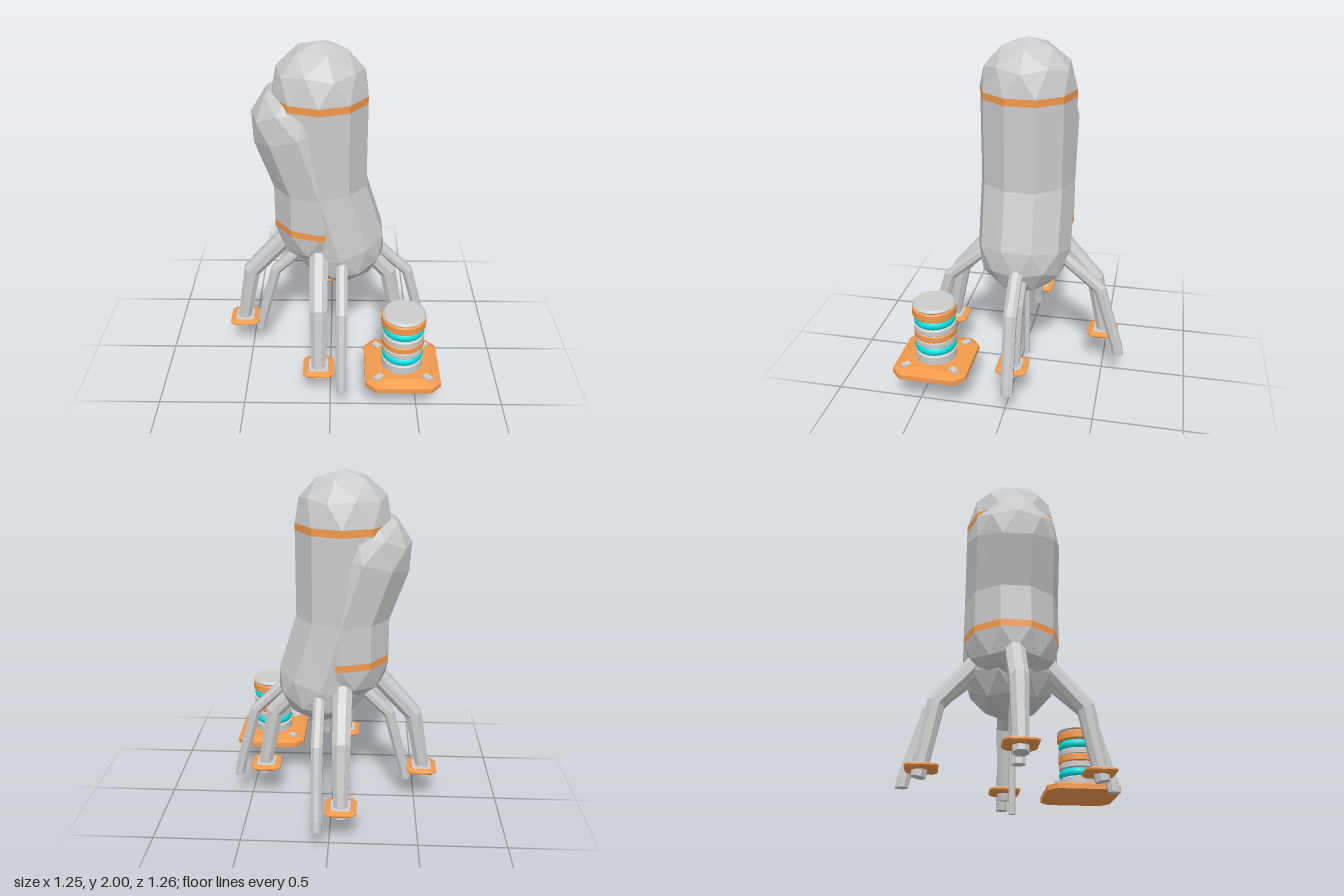
import * as THREE from 'three';
import { toCreasedNormals } from 'three/addons/utils/BufferGeometryUtils.js';

const V = (x, y, z) => new THREE.Vector3(x, y, z);
const flat = (color) => new THREE.MeshStandardMaterial({ color, flatShading: true });
const smooth = (color) => new THREE.MeshStandardMaterial({ color });
const GREY = 0xcccccc, ORANGE = 0xf29a4c, CYAN = 0x00dede;
const grey = flat(GREY), orange = flat(ORANGE);

function add(parent, name, geometry, material) {
  const mesh = new THREE.Mesh(geometry, material);
  mesh.name = name;
  parent.add(mesh);
  return mesh;
}

// Joins rings of points, listed from bottom to top
function loft(rings, capped = true) {
  const n = rings[0].length, index = [];
  for (let i = 0; i < rings.length - 1; i++) {
    for (let j = 0; j < n; j++) {
      const a = i * n + j, b = i * n + (j + 1) % n;
      index.push(a, a + n, b + n, a, b + n, b);
    }
  }
  const last = (rings.length - 1) * n;
  for (let j = 1; capped && j < n - 1; j++) {
    index.push(0, j, j + 1, last, last + j + 1, last + j);
  }
  const g = new THREE.BufferGeometry().setFromPoints(rings.flat());
  g.setIndex(index);
  const out = g.toNonIndexed();
  out.computeVertexNormals();
  return out;
}

// Regular ring around (x, y), leaning by tilt in the xy plane
function ring(x, y, tilt, r, sides) {
  return Array.from({ length: sides }, (_, k) => {
    const a = ((k + 0.5) / sides) * Math.PI * 2;
    const u = r * Math.cos(a);
    return V(x + u * Math.cos(tilt), y + u * Math.sin(tilt), r * Math.sin(a));
  });
}

// Square ring with cut corners
function cutSquare(h, c, y) {
  const k = h - c;
  return [[h, -k], [h, k], [k, h], [-k, h], [-h, k], [-h, -k], [-k, -h], [k, -h]]
    .map(([x, z]) => V(x, y, z));
}

// Half of a faceted sphere: sign 1 keeps the top, -1 the bottom
function dome(r, sign, [x, y, tilt]) {
  const src = new THREE.IcosahedronGeometry(r, 1);
  src.rotateZ(-Math.atan(2 / (1 + Math.sqrt(5))));
  const p = src.attributes.position, kept = [];
  for (let i = 0; i < p.count; i += 3) {
    if (sign * (p.getY(i) + p.getY(i + 1) + p.getY(i + 2)) > 0.01) {
      for (let k = i; k < i + 3; k++) kept.push(V(p.getX(k), p.getY(k), p.getZ(k)));
    }
  }
  const g = new THREE.BufferGeometry().setFromPoints(kept);
  g.rotateZ(tilt).translate(x, y, 0);
  g.computeVertexNormals();
  return g;
}

// Bent tank with domed ends and a coloured band at its straight end
function tank(name, bottom, bend, top, bandAtTop) {
  const R = 0.27, B = 0.04, group = new THREE.Group();
  group.name = name;
  const at = ([x, y, t]) => ring(x, y, t, R, 10);
  const end = bandAtTop ? top : bottom;
  const cut = [end[0], end[1] + (bandAtTop ? -B : B), 0];
  const wall = bandAtTop ? [bottom, bend, cut] : [cut, bend, top];
  const band = bandAtTop ? [cut, top] : [bottom, cut];
  add(group, 'tankWall', loft(wall.map(at), false), grey);
  add(group, 'tankBand', loft(band.map(at), false), orange);
  add(group, 'upperDome', dome(R, 1, top), grey);
  add(group, 'lowerDome', dome(R, -1, bottom), grey);
  return group;
}

// Round layer of the canister, profile given as [radius, y]
function layer(parent, name, profile, color) {
  const g = new THREE.LatheGeometry(profile.map(([r, y]) => new THREE.Vector2(r, y)), 32);
  add(parent, name, toCreasedNormals(g, 0.6), smooth(color));
}
const drum = (r, y0, y1, b = 0.006) =>
  [[0, y0], [r - b, y0], [r, y0 + b], [r, y1 - b], [r - b, y1], [0, y1]];
const bulge = (r, y0, y1) => Array.from({ length: 9 }, (_, i) => {
  const a = -Math.PI / 2 + (i / 8) * Math.PI, h = (y1 - y0) / 2;
  return [r - h + h * Math.cos(a), (y0 + y1) / 2 + h * Math.sin(a)];
});

function canister() {
  const g = new THREE.Group();
  g.name = 'canister';
  g.position.set(0.41, 0, 0.42);
  add(g, 'canisterBase', loft([
    cutSquare(0.212, 0.055, 0.208), cutSquare(0.212, 0.055, 0.237), cutSquare(0.152, 0.02, 0.258),
  ]), orange);
  // Corner bolts
  for (const sx of [-1, 1]) for (const sz of [-1, 1]) {
    const bolt = add(g, 'baseBolt', new THREE.BoxGeometry(0.035, 0.03, 0.05), grey);
    bolt.position.set(sx * 0.138, 0.25, sz * 0.138);
    bolt.rotation.y = sx * sz * Math.PI / 4;
  }
  // Stacked layers
  layer(g, 'greyLayer', drum(0.117, 0.25, 0.312), GREY);
  layer(g, 'cyanRing', bulge(0.118, 0.308, 0.366), CYAN);
  layer(g, 'greyLayer', drum(0.117, 0.362, 0.402), GREY);
  layer(g, 'orangeLayer', drum(0.119, 0.4, 0.444), ORANGE);
  layer(g, 'greyLayer', drum(0.117, 0.442, 0.482), GREY);
  layer(g, 'cyanRing', bulge(0.118, 0.478, 0.537), CYAN);
  layer(g, 'orangeLayer', drum(0.124, 0.535, 0.588), ORANGE);
  layer(g, 'canisterLid', drum(0.121, 0.586, 0.613, 0.012), GREY);
  return g;
}

export function createModel() {
  const model = new THREE.Group();
  model.name = 'tankStation';

  // Two interlocking bent tanks: [x, y, tilt]
  const tanks = new THREE.Group();
  tanks.name = 'tanks';
  tanks.position.z = -0.025;
  tanks.add(tank('tallTank', [0.05, 0.82, 0.28], [-0.06, 1.21, 0], [-0.06, 1.73, 0], true));
  tanks.add(tank('shortTank', [-0.06, 0.95, 0], [-0.06, 1.2, 0], [-0.17, 1.55, 0.3], false));
  model.add(tanks);

  // Legs, from foot to hip
  const padLeg = loft([
    ring(0.485, 0.18, 0.17, 0.042, 8), ring(0.41, 0.587, 0.45, 0.054, 8), ring(0.15, 0.88, 0.72, 0.058, 8),
  ]);
  const pipeLeg = loft([
    ring(0.505, 0.155, 0, 0.032, 8), ring(0.495, 0.215, 0.1, 0.032, 8),
    ring(0.395, 0.59, 0.5, 0.034, 8), ring(0.15, 0.83, 0.78, 0.034, 8),
  ]);
  const pad = loft([
    cutSquare(0.078, 0.022, 0.216), cutSquare(0.088, 0.025, 0.226),
    cutSquare(0.088, 0.025, 0.234), cutSquare(0.062, 0.012, 0.244),
  ]);
  const plate = loft([cutSquare(0.06, 0.012, 0.238), cutSquare(0.055, 0.012, 0.248)]);

  const padLegs = new THREE.Group(), pipeLegs = new THREE.Group();
  padLegs.name = 'padLegs';
  pipeLegs.name = 'pipeLegs';
  padLegs.position.set(-0.067, 0, -0.025);
  pipeLegs.position.set(0.063, 0, -0.025);
  pipeLegs.scale.z = 1.135;
  for (let i = 0; i < 4; i++) {
    const leg = new THREE.Group();
    leg.name = 'padLeg';
    leg.rotation.y = i * Math.PI / 2;
    add(leg, 'legTube', padLeg, grey);
    add(leg, 'footPad', pad, orange).position.x = 0.47;
    add(leg, 'footPlate', plate, grey).position.x = 0.47;
    padLegs.add(leg);
    add(pipeLegs, 'pipeLeg', pipeLeg, grey).rotation.y = i * Math.PI / 2;
  }
  model.add(padLegs, pipeLegs);

  // Central drain rod
  add(model, 'centreRod', new THREE.CylinderGeometry(0.018, 0.018, 0.8, 8), grey)
    .position.set(-0.063, 0.4, -0.022);

  model.add(canister());
  return model;
}
